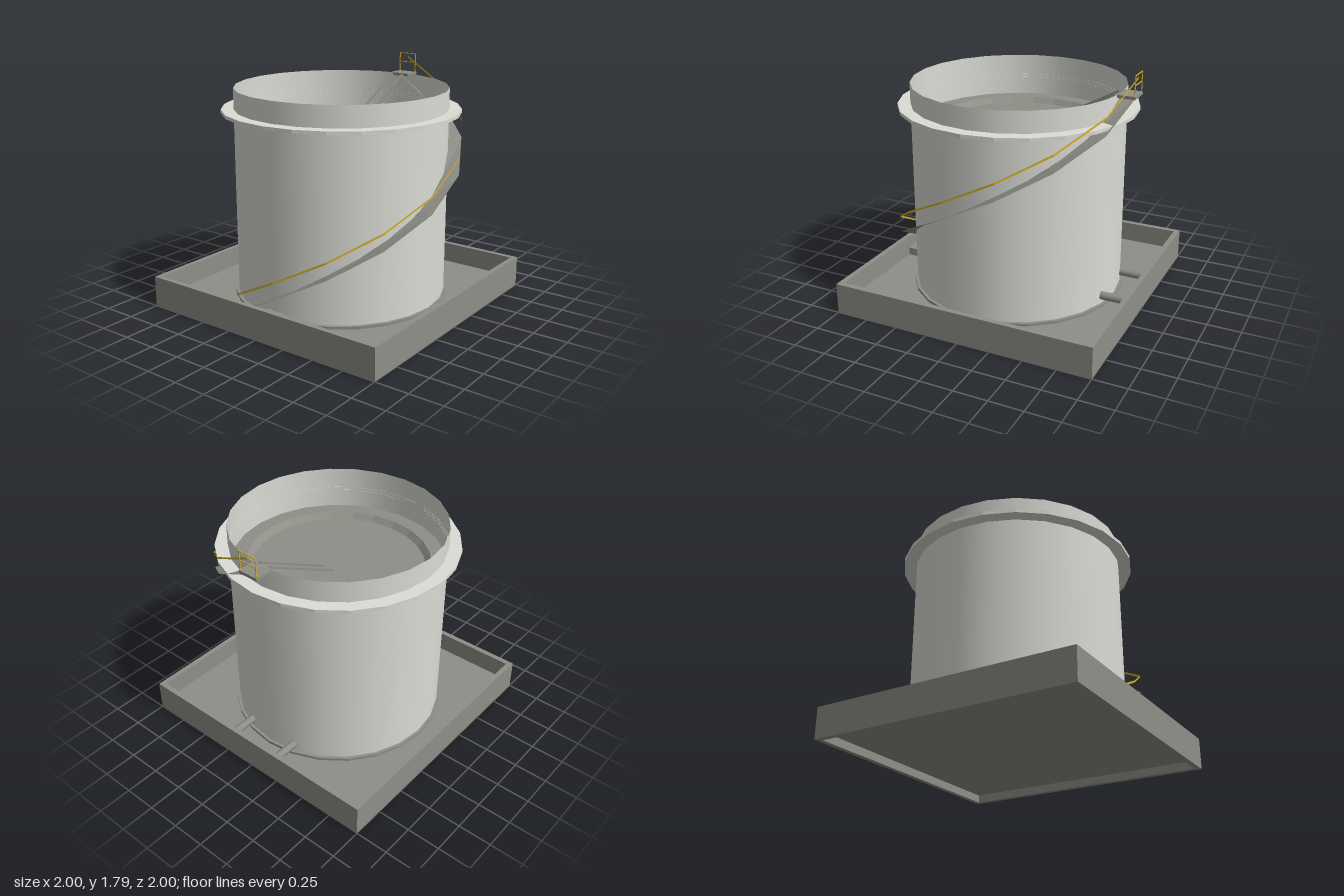
import * as THREE from 'three';

const SIDES = 24;
const material = (name, color, side = THREE.FrontSide) => {
  const m = new THREE.MeshStandardMaterial({ color, side });
  m.name = name;
  return m;
};

export function createModel() {
  const model = new THREE.Group();
  model.name = 'storageTank';
  const paint = material('pale tank paint', 0xdcdcd6, THREE.DoubleSide);
  const grey = material('concrete grey', 0x8f8f88, THREE.DoubleSide);
  const yellow = material('safety yellow', 0xd8b420, THREE.DoubleSide);

  const add = (name, geometry, mat, x = 0, y = 0, z = 0) => {
    const mesh = new THREE.Mesh(geometry, mat);
    mesh.name = name;
    mesh.position.set(x, y, z);
    model.add(mesh);
    return mesh;
  };
  const box = (name, mat, w, h, d, x, y, z) =>
    add(name, new THREE.BoxGeometry(w, h, d), mat, x, y, z);
  // Faceted surface of revolution from [radius, height] pairs
  const lathe = (name, mat, points) => {
    const g = new THREE.LatheGeometry(points.map(p => new THREE.Vector2(...p)), SIDES).toNonIndexed();
    g.computeVertexNormals();
    return add(name, g, mat);
  };
  const ring = (name, mat, r0, r1, y0, y1) =>
    lathe(name, mat, [[r0, y0], [r1, y0], [r1, y1], [r0, y1]]);

  // Containment basin: four walls round a raised floor
  for (const s of [-1, 1]) {
    box('basinWallSide', grey, 0.04, 0.235, 2, s * 0.98, 0.1175, 0);
    box('basinWallEnd', grey, 1.92, 0.235, 0.04, 0, 0.1175, s * 0.98);
  }
  box('basinFloor', grey, 1.92, 0.02, 1.92, 0, 0.07, 0);

  // Tank shell, foundation ring and wind girder
  add('tankShell', new THREE.CylinderGeometry(0.787, 0.787, 1.565, SIDES, 1, true), paint, 0, 0.8625, 0);
  ring('foundationRing', grey, 0.76, 0.81, 0.08, 0.1);
  ring('windGirder', paint, 0.785, 0.88, 1.465, 1.49);

  // Floating roof: raised pontoon rim sloping down to the deck
  lathe('floatingRoof', grey, [[0.78, 1.25], [0.78, 1.33], [0.67, 1.33], [0.63, 1.29], [0, 1.29]]);

  // Spiral stair and handrail are ribbons along the same eight-step helix
  const STEPS = 8;
  const helix = (r, i, lift) => {
    const a = THREE.MathUtils.degToRad(-20 + 25 * i);
    return [r * Math.sin(a), 0.085 + 0.194 * i + lift, r * Math.cos(a)];
  };
  const ribbon = (name, mat, edgeA, edgeB) => {
    const pos = [];
    for (let i = 0; i < STEPS; i++) {
      const a = edgeA(i), b = edgeB(i), c = edgeA(i + 1), d = edgeB(i + 1);
      pos.push(...a, ...b, ...d, ...a, ...d, ...c);
    }
    const g = new THREE.BufferGeometry();
    g.setAttribute('position', new THREE.Float32BufferAttribute(pos, 3));
    g.computeVertexNormals();
    add(name, g, mat);
  };
  ribbon('spiralStair', grey, i => helix(0.787, i, 0), i => helix(0.9, i, 0));
  ribbon('stairHandrail', yellow, i => helix(0.9, i, 0.133), i => helix(0.9, i, 0.118));

  // Landings at the foot and head of the stair
  box('footLanding', grey, 0.16, 0.06, 0.18, 0, 0.11, 0.87);
  box('topPlatform', grey, 0.16, 0.022, 0.13, 0, 1.634, -0.842);

  // Guard frame at the outer edge of the platform
  for (const s of [-1, 1]) box('guardPost', yellow, 0.006, 0.15, 0.006, s * 0.072, 1.717, -0.9);
  for (const y of [1.72, 1.789]) box('guardRail', yellow, 0.15, 0.006, 0.006, 0, y, -0.9);

  // Access ladder from the platform down to the roof, and inlet pipes
  const top = new THREE.Vector3(0, 1.64, -0.75), foot = new THREE.Vector3(0, 1.3, -0.12);
  const middle = top.clone().add(foot).multiplyScalar(0.5);
  for (const s of [-1, 1]) {
    const stringer = box('ladderStringer', grey, 0.012, 0.014, top.distanceTo(foot), s * 0.046, middle.y, middle.z);
    stringer.rotation.x = Math.atan2(top.y - foot.y, foot.z - top.z);
    const pipe = new THREE.CylinderGeometry(0.03, 0.03, 0.2, 12).rotateX(Math.PI / 2);
    add('inletPipe', pipe, grey, s * 0.21, 0.17, -0.86);
  }
  return model;
}
